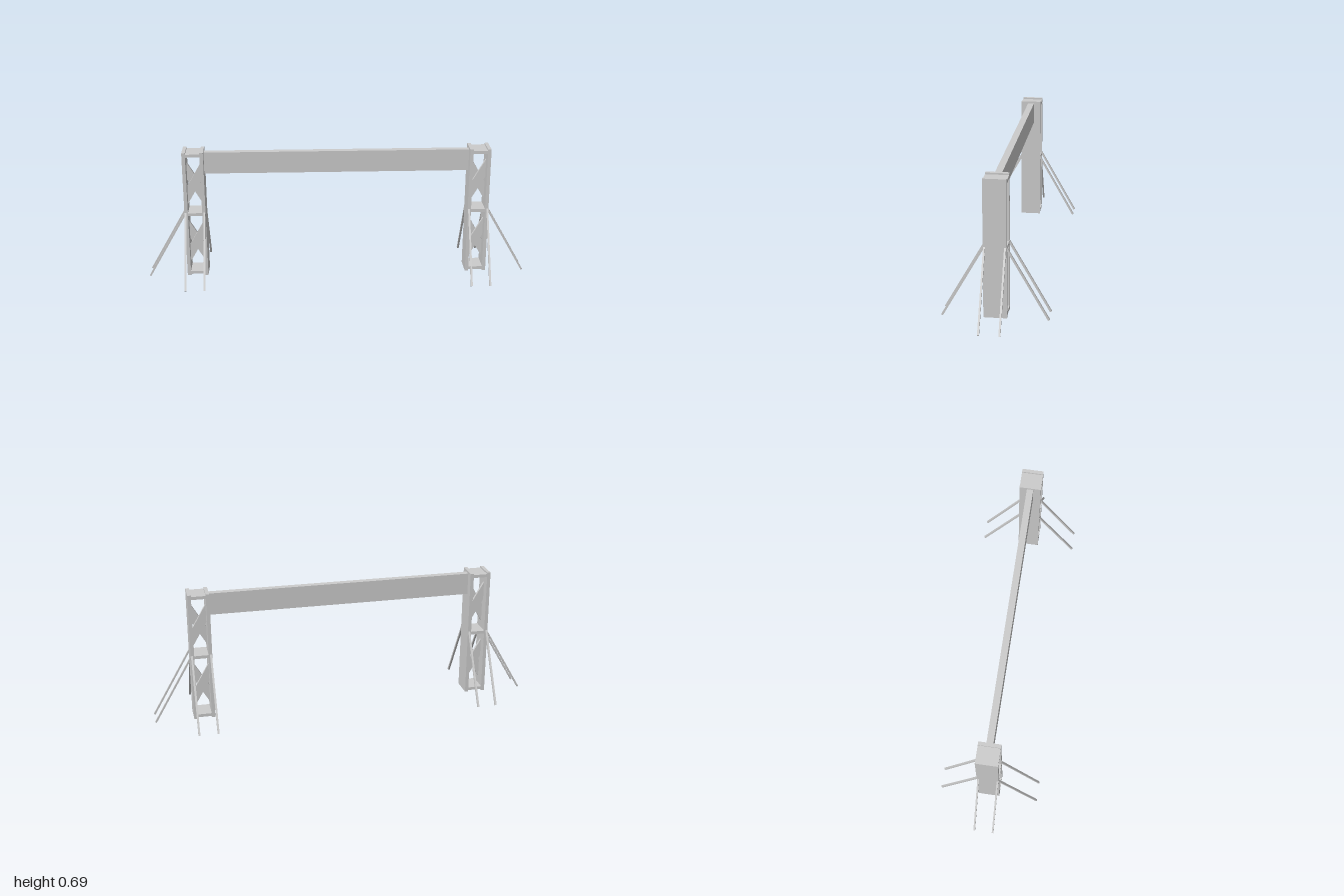
import * as THREE from 'three';

const material = new THREE.MeshStandardMaterial({ color: 0xcccccc, flatShading: true });

function add(parent, name, geometry, x = 0, y = 0, z = 0) {
  const mesh = new THREE.Mesh(geometry, material);
  mesh.name = name;
  mesh.position.set(x, y, z);
  parent.add(mesh);
  return mesh;
}

const box = (w, h, d) => new THREE.BoxGeometry(w, h, d);

// Square bar tilted outward along +x, from (0, top) down to (reach, bottom)
function strutGeometry(reach, top, bottom, size) {
  const length = Math.hypot(reach, top - bottom);
  return box(size, length, size)
    .rotateZ(Math.atan2(reach, top - bottom))
    .translate(reach / 2, (top + bottom) / 2, 0);
}

// Diagonal strip with its ends cut flush against the upright plates
function braceGeometry(direction) {
  const w = 0.045, rise = w * Math.sqrt(3) * direction, half = 0.048;
  const shape = new THREE.Shape([
    new THREE.Vector2(-w, -rise - half),
    new THREE.Vector2(w, rise - half),
    new THREE.Vector2(w, rise + half),
    new THREE.Vector2(-w, -rise + half),
  ]);
  return new THREE.ExtrudeGeometry(shape, { depth: 0.014, bevelEnabled: false });
}

function createTower(name, side) {
  const tower = new THREE.Group();
  tower.name = name;
  const centre = side * 0.743;

  // Full-depth upright plates
  for (const s of [-1, 1]) {
    add(tower, 'uprightPlate', box(0.018, 0.685, 0.112), centre + s * 0.046, 0.3455, 0);
  }

  // Horizontal shelves at foot, middle and top
  for (const y of [0.019, 0.35, 0.672]) {
    add(tower, 'shelf', box(0.08, 0.016, 0.112), centre, y, 0);
  }

  // Crossed braces in both bays
  for (const y of [0.18, 0.508]) {
    add(tower, 'frontBrace', braceGeometry(1), centre, y, 0);
    add(tower, 'backBrace', braceGeometry(-1), centre, y, -0.014);
  }

  // Struts leaning out to the side
  for (const z of [-0.048, 0.05]) {
    const strut = add(tower, 'sideStrut', strutGeometry(0.202, 0.355, 0.003, 0.009), side * 0.794, 0, z);
    if (side < 0) strut.rotation.y = Math.PI;
  }

  // Struts leaning out to front and back
  for (const x of [0.695, 0.792]) {
    for (const s of [-1, 1]) {
      const strut = add(tower, s > 0 ? 'frontStrut' : 'backStrut',
        strutGeometry(0.202, 0.358, 0.004, 0.01), side * x, 0, s * 0.052);
      strut.rotation.y = -s * Math.PI / 2;
    }
  }
  return tower;
}

export function createModel() {
  const model = new THREE.Group();
  model.name = 'gantry';
  model.add(createTower('leftTower', 1), createTower('rightTower', -1));
  // Beam spanning the towers
  add(model, 'crossBeam', box(1.38, 0.114, 0.034), 0, 0.62, 0);
  return model;
}
